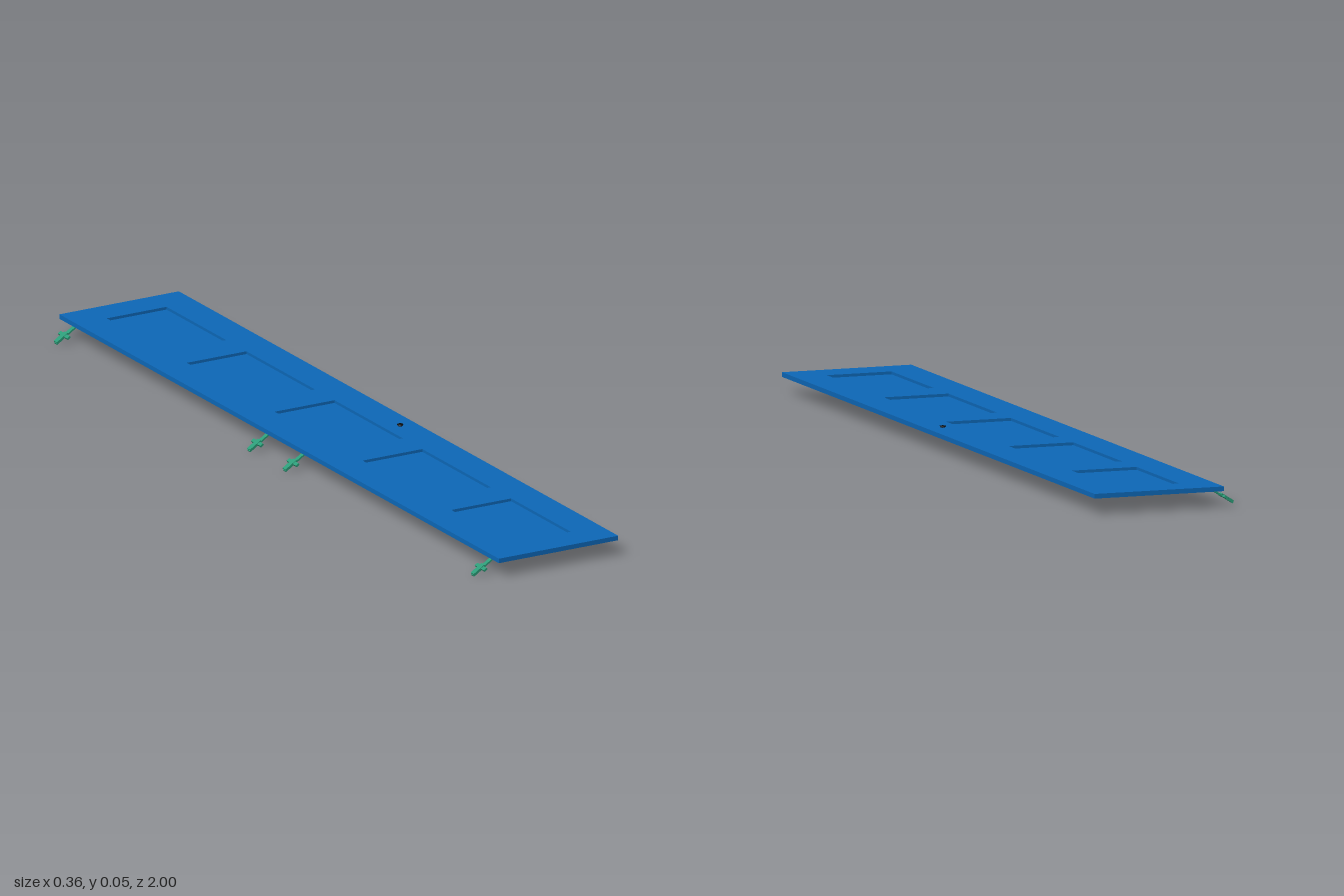
import * as THREE from 'three';

const blue = new THREE.MeshStandardMaterial({ color: 0x0d68b8 });
const green = new THREE.MeshStandardMaterial({ color: 0x2c9c78 });
const black = new THREE.MeshStandardMaterial({ color: 0x0a0a0a });

const X0 = -0.138, X1 = 0.182, Y0 = 0.039, Y1 = 0.05;
const PX0 = -0.058, PX1 = 0.102;
// [centre z, length] of each recessed panel
const PANELS = [[-0.784, 0.272], [-0.4, 0.312], [0, 0.312], [0.4, 0.312], [0.784, 0.272]];

function box(name, w, h, d, x, y, z, material) {
  const m = new THREE.Mesh(new THREE.BoxGeometry(w, h, d), material);
  m.name = name;
  m.position.set(x, y, z);
  return m;
}

function rect(path, x0, x1, z0, z1) {
  path.moveTo(x0, -z1);
  path.lineTo(x1, -z1);
  path.lineTo(x1, -z0);
  path.lineTo(x0, -z0);
  path.closePath();
  return path;
}

function createDoor() {
  const door = new THREE.Group();
  door.name = 'door';
  // Frame with five openings
  const shape = rect(new THREE.Shape(), X0, X1, -1, 1);
  for (const [z, len] of PANELS) {
    shape.holes.push(rect(new THREE.Path(), PX0, PX1, z - len / 2, z + len / 2));
  }
  const geometry = new THREE.ExtrudeGeometry(shape, { depth: Y1 - Y0, bevelEnabled: false });
  geometry.rotateX(-Math.PI / 2).translate(0, Y0, 0);
  const frame = new THREE.Mesh(geometry, blue);
  frame.name = 'doorFrame';
  door.add(frame);
  // Thin sunken panels
  for (const [z, len] of PANELS) {
    door.add(box('recessedPanel', PX1 - PX0, 0.003, len, (PX0 + PX1) / 2, 0.0418, z, blue));
  }
  return door;
}

function createHinge(z) {
  const hinge = new THREE.Group();
  hinge.name = 'hinge';
  hinge.position.z = z;
  // Flat leaf under the door
  hinge.add(box('hingeLeaf', 0.02, 0.002, 0.014, -0.119, 0.038, 0, green));
  // Tilted arm, measured along its own x axis from the bend
  const arm = new THREE.Group();
  arm.name = 'hingeArm';
  arm.position.set(-0.126, 0.0375, 0);
  arm.rotation.z = 0.565;
  arm.add(box('strap', 0.066, 0.004, 0.011, -0.032, 0, 0, green));
  arm.add(box('upperPlate', 0.034, 0.003, 0.014, -0.046, 0.0035, 0, green));
  arm.add(box('crossBar', 0.009, 0.005, 0.042, -0.037, 0.001, 0, green));
  hinge.add(arm);
  return hinge;
}

function createKnob() {
  // Tapered knobs on both faces joined by a spindle
  const profile = [
    [0, 0.034], [0.002, 0.034], [0.006, 0.039], [0.003, 0.041],
    [0.003, 0.047], [0.005, 0.05], [0.0075, 0.054], [0, 0.054],
  ].map(([r, y]) => new THREE.Vector2(r, y));
  const knob = new THREE.Mesh(new THREE.LatheGeometry(profile, 16), black);
  knob.name = 'knob';
  knob.position.set(0.141, 0, 0.077);
  return knob;
}

export function createModel() {
  const model = new THREE.Group();
  model.name = 'panelDoor';
  model.add(createDoor(), createKnob());
  for (const z of [-0.944, -0.065, 0.097, 0.953]) model.add(createHinge(z));
  return model;
}
